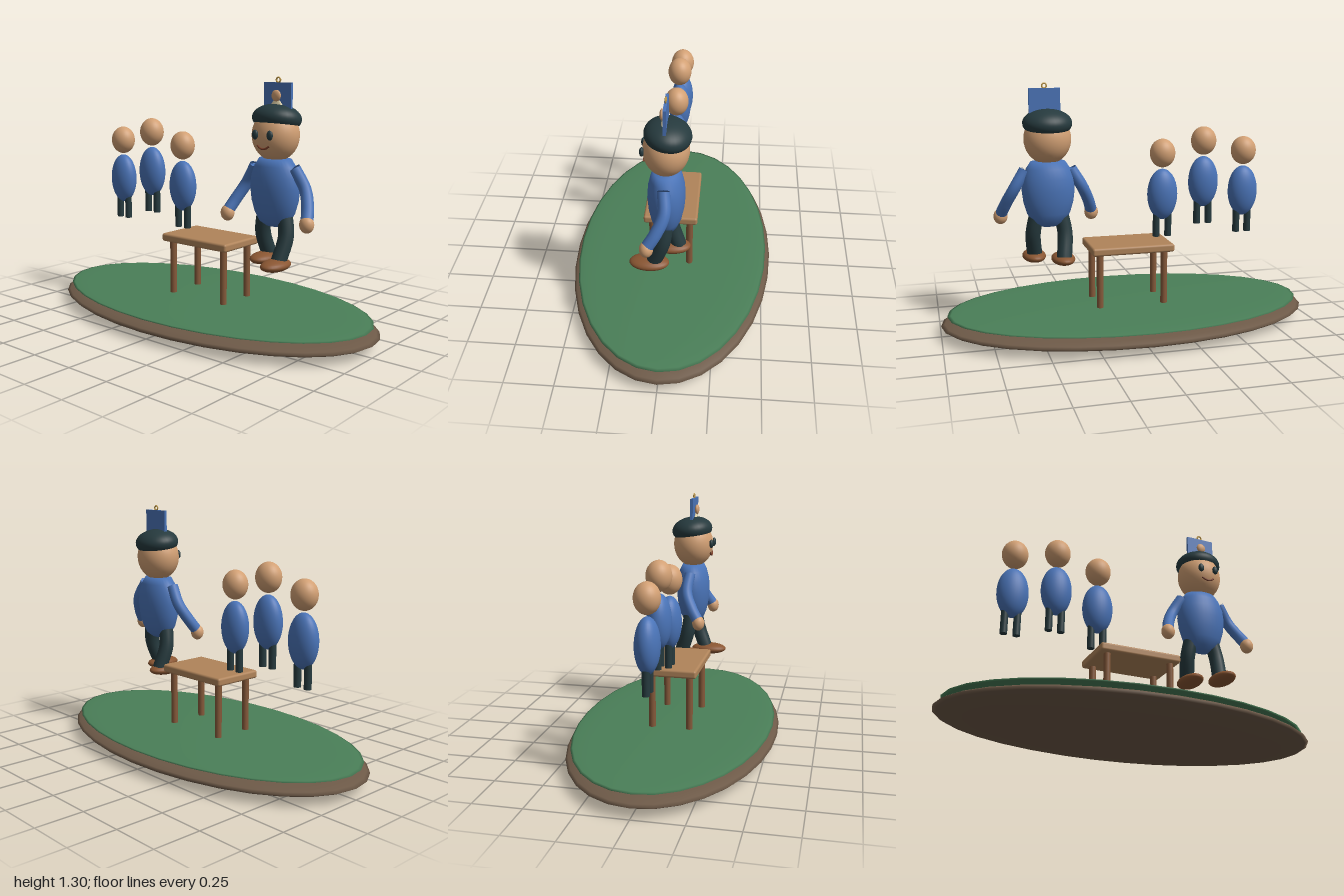
import * as THREE from 'three';
import { RoundedBoxGeometry } from 'three/addons/geometries/RoundedBoxGeometry.js';

const mat = (color) => new THREE.MeshStandardMaterial({ color, side: THREE.DoubleSide });
const M = {
  skin: mat(0xd2a074), blue: mat(0x4a74b8), dark: mat(0x263a3e), top: mat(0xb0845a), wood: mat(0x85593a),
  earth: mat(0x6e5a48), grass: mat(0x4a7f58), shoe: mat(0x8a5632), gold: mat(0xc09a48), cream: mat(0xe6d8b0),
  mouth: mat(0x7a3f2a),
};

function add(parent, name, geometry, material, x = 0, y = 0, z = 0) {
  const mesh = new THREE.Mesh(geometry, material);
  mesh.name = name;
  mesh.position.set(x, y, z);
  parent.add(mesh);
  return mesh;
}

function ball(parent, name, material, [x, y, z], [rx, ry, rz], w = 32, h = 20) {
  const mesh = add(parent, name, new THREE.SphereGeometry(1, w, h), material, x, y, z);
  mesh.scale.set(rx, ry, rz);
  return mesh;
}

// Round limb along a smooth path, closed with a flat disc at each end
function limb(parent, name, material, points, radius) {
  const curve = new THREE.CatmullRomCurve3(points.map((p) => new THREE.Vector3(...p)));
  add(parent, name, new THREE.TubeGeometry(curve, 20, radius, 16), material);
  for (const [t, s] of [[0, -1], [1, 1]]) {
    const p = curve.getPoint(t);
    const cap = add(parent, name + 'Cap', new THREE.CircleGeometry(radius, 16), material, p.x, p.y, p.z);
    cap.lookAt(p.clone().addScaledVector(curve.getTangent(t), s));
  }
}

function group(parent, name, x = 0, y = 0, z = 0) {
  const g = new THREE.Group();
  g.name = name;
  g.position.set(x, y, z);
  parent.add(g);
  return g;
}

function buildTable(root) {
  const table = group(root, 'table');
  add(table, 'tableTop', new RoundedBoxGeometry(0.445, 0.043, 0.285, 3, 0.012), M.top, -0.002, 0.432, 0);
  for (const x of [-0.177, 0.175]) for (const z of [-0.1, 0.1]) {
    add(table, 'tableLeg', new THREE.CylinderGeometry(0.018, 0.018, 0.3, 16), M.wood, x, 0.265, z);
  }
}

function buildSmallFigure(root, x, y) {
  const figure = group(root, 'smallFigure', x, y, 0);
  ball(figure, 'head', M.skin, [0, 0.455, 0], [0.069, 0.077, 0.064]);
  ball(figure, 'body', M.blue, [0, 0.232, 0], [0.083, 0.138, 0.061]);
  for (const s of [-1, 1]) {
    add(figure, 'leg', new THREE.CylinderGeometry(0.019, 0.019, 0.17, 16), M.dark, s * 0.033, 0.085, 0);
  }
}

function buildWalker(root) {
  const walker = group(root, 'walker', 0.425, 0, 0);

  // Torso: flattened lathe
  const profile = [[0, 0.556], [0.045, 0.561], [0.085, 0.583], [0.113, 0.63], [0.131, 0.69], [0.139, 0.755],
    [0.133, 0.815], [0.115, 0.866], [0.09, 0.903], [0, 0.905]];
  const torso = add(walker, 'torso', new THREE.LatheGeometry(profile.map((p) => new THREE.Vector2(...p)), 32), M.blue);
  torso.scale.z = 0.67;

  // Head and face
  ball(walker, 'head', M.skin, [0, 1.018, 0], [0.123, 0.13, 0.112]);
  for (const s of [-1, 1]) ball(walker, 'eye', M.dark, [s * 0.044, 1.026, 0.111], [0.017, 0.024, 0.012]);
  const smile = new THREE.CatmullRomCurve3([-1, -0.5, 0, 0.5, 1].map((t) =>
    new THREE.Vector3(t * 0.035, 0.957 + 0.016 * t * t, 0.106 - 0.004 * t * t)));
  add(walker, 'mouth', new THREE.TubeGeometry(smile, 16, 0.005, 8), M.mouth);

  // Cap tilted backwards
  const cap = add(walker, 'cap', new THREE.SphereGeometry(1, 32, 20, 0, Math.PI * 2, 0, Math.PI * 0.63),
    M.dark, 0, 1.1, -0.008);
  cap.scale.set(0.128, 0.072, 0.114);
  cap.rotation.x = -0.14;

  // Arms and hands
  for (const s of [-1, 1]) {
    limb(walker, 'arm', M.blue, [[s * 0.12, 0.86, 0.003], [s * 0.178, 0.765, -0.003],
      [s * 0.22, 0.68, 0.035], [s * 0.24, 0.625, 0.07]], 0.031);
    ball(walker, 'hand', M.skin, [s * 0.243, 0.609, 0.076], [0.037, 0.042, 0.034], 24, 16);
  }

  // Striding legs: the left one leads
  for (const [s, knee, ankle, foot] of [[1, 0.015, 0.06, 0.083], [-1, -0.015, -0.055, -0.017]]) {
    limb(walker, 'leg', M.dark, [[s * 0.06, 0.64, 0], [s * 0.082, 0.52, knee], [s * 0.07, 0.395, ankle]], 0.04);
    ball(walker, 'shoe', M.shoe, [s * 0.07, 0.383, foot], [0.062, 0.031, 0.101], 28, 16);
  }
}

function buildPlaque(root) {
  // Hanging plaque with a tiny figure on it
  const plaque = group(root, 'plaque', 0.437, 0, 0);
  add(plaque, 'panel', new THREE.BoxGeometry(0.162, 0.15, 0.015), M.blue, 0, 1.202, 0);
  add(plaque, 'ring', new THREE.TorusGeometry(0.012, 0.004, 10, 24), M.gold, 0, 1.289, 0);
  ball(plaque, 'tinyHead', M.skin, [0, 1.213, 0.017], [0.027, 0.028, 0.012], 24, 16);
  const robe = add(plaque, 'tinyRobe', new THREE.CylinderGeometry(0.018, 0.055, 0.05, 24), M.cream, 0, 1.165, 0.012);
  robe.scale.z = 0.3;
}

export function createModel() {
  const root = new THREE.Group();
  root.name = 'tabletopScene';

  // Oval ground
  ball(root, 'groundBase', M.earth, [0, 0.056, 0], [1, 0.056, 0.547], 32, 16);
  ball(root, 'grass', M.grass, [0, 0.106, 0], [0.967, 0.018, 0.522], 32, 16);

  buildTable(root);
  for (const [x, y] of [[-0.66, 0.468], [-0.428, 0.528], [-0.196, 0.468]]) buildSmallFigure(root, x, y);
  buildWalker(root);
  buildPlaque(root);
  return root;
}
